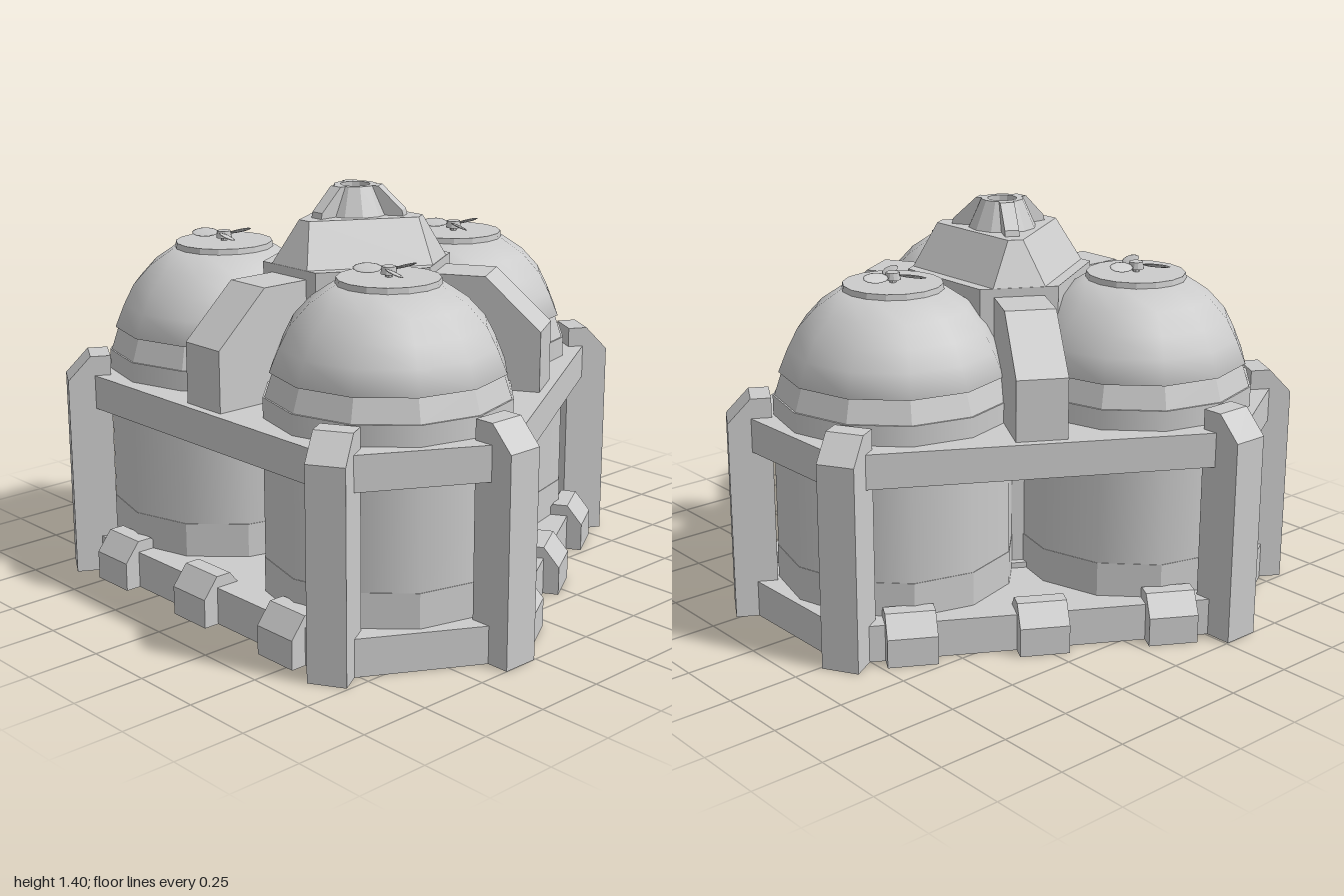
import * as THREE from 'three';
import { ConvexGeometry } from 'three/addons/geometries/ConvexGeometry.js';

const flat = new THREE.MeshStandardMaterial({ color: 0xcccccc, flatShading: true });
const smooth = new THREE.MeshStandardMaterial({ color: 0xcccccc });
const TURN = (2 * Math.PI) / 3;

function add(parent, name, geometry, material = flat) {
  const mesh = new THREE.Mesh(geometry, material);
  mesh.name = name;
  parent.add(mesh);
  return mesh;
}

// Truncated triangle: three long sides and three cut corners, given by their
// distances from the centre. dir = 1 puts a long side at +z, -1 at -z.
function truncatedTriangle(side, cut, dir) {
  const half = (cut - side / 2) / Math.sin(Math.PI / 3);
  const points = [];
  for (let k = 0; k < 3; k++) {
    for (const s of [1, -1]) {
      points.push(new THREE.Vector2(s * half, side * dir)
        .rotateAround(new THREE.Vector2(), k * TURN * dir));
    }
  }
  return points.sort((p, q) => p.angle() - q.angle());
}

// Solid between two outlines at two heights
function solid(lower, y0, upper, y1) {
  return new ConvexGeometry([
    ...lower.map((p) => new THREE.Vector3(p.x, y0, p.y)),
    ...upper.map((p) => new THREE.Vector3(p.x, y1, p.y)),
  ]);
}

// Upright plate between two heights with a hole through it
function frame(outline, hole, y0, y1) {
  const shape = new THREE.Shape(outline);
  shape.holes.push(new THREE.Path(hole));
  return new THREE.ExtrudeGeometry(shape, { depth: y1 - y0, bevelEnabled: false })
    .rotateX(Math.PI / 2).translate(0, y1, 0);
}

// Side profile of [z, y] points, given a width along x
function profile(points, width) {
  const shape = new THREE.Shape(points.map(([z, y]) => new THREE.Vector2(z, y)));
  return new THREE.ExtrudeGeometry(shape, { depth: width, bevelEnabled: false })
    .rotateY(-Math.PI / 2).translate(width / 2, 0, 0);
}

function lathe(points, segments) {
  return new THREE.LatheGeometry(points.map(([r, y]) => new THREE.Vector2(r, y)), segments);
}

function cylinder(top, bottom, y0, y1, sides) {
  return new THREE.CylinderGeometry(top, bottom, y1 - y0, sides).translate(0, (y0 + y1) / 2, 0);
}

function createFan() {
  const fan = new THREE.Group();
  fan.name = 'fan';
  add(fan, 'fanPost', cylinder(0.012, 0.012, 1.17, 1.19, 8));
  add(fan, 'fanHub', cylinder(0.024, 0.028, 1.185, 1.21, 12));
  for (let k = 0; k < 3; k++) {
    const blade = new THREE.SphereGeometry(1, 12, 6)
      .scale(0.03, 0.004, 0.05).rotateZ(0.4).translate(0, 1.2, -0.072);
    add(fan, 'fanBlade', blade, smooth).rotation.y = k * TURN;
  }
  return fan;
}

function createTank() {
  const tank = new THREE.Group();
  tank.name = 'tank';
  add(tank, 'tankFoot', cylinder(0.42, 0.42, 0.125, 0.25, 12));
  add(tank, 'tankWall', cylinder(0.418, 0.418, 0.2, 0.8, 12), smooth);
  add(tank, 'tankCollar', cylinder(0.385, 0.412, 0.8, 0.882, 12));
  add(tank, 'dome', lathe([
    [0.36, 0.88], [0.396, 0.88], [0.363, 0.96], [0.327, 1.03],
    [0.265, 1.097], [0.18, 1.155], [0, 1.165],
  ], 12), smooth);
  add(tank, 'domeCap', cylinder(0.172, 0.175, 1.153, 1.175, 16));
  return tank;
}

export function createModel() {
  const model = new THREE.Group();
  model.name = 'tankStation';
  const body = new THREE.Group();
  body.name = 'body';
  body.position.z = 0.107;
  model.add(body);

  // Floor and deck: thin plates with a rim hanging down around the edge
  const outline = truncatedTriangle(0.71, 0.937, 1);
  const rimInside = truncatedTriangle(0.69, 0.917, 1);
  const recess = truncatedTriangle(0.29, 0.33, -1);
  const towerOutline = truncatedTriangle(0.27, 0.305, -1);
  add(body, 'floor', frame(outline, recess, 0.115, 0.13));
  add(body, 'floorRim', frame(outline, rimInside, 0, 0.115));
  add(body, 'deck', solid(outline, 0.7, outline, 0.73));
  add(body, 'deckRim', frame(outline, rimInside, 0.61, 0.7));

  // Central tower with a ledge, a sloped roof and a hollow nozzle
  add(body, 'towerFoot', solid(recess, 0.125, recess, 0.15));
  add(body, 'tower', solid(towerOutline, 0.15, towerOutline, 1.15));
  add(body, 'towerRoof', solid(
    truncatedTriangle(0.23, 0.303, -1), 1.15, truncatedTriangle(0.14, 0.235, -1), 1.3));
  add(body, 'nozzle', lathe([
    [0.12, 1.3], [0.075, 1.4], [0.052, 1.4], [0.052, 1.32], [0, 1.32],
  ], 12));

  const pillar = profile([[0.85, 0], [1, 0], [1, 0.715], [0.92, 0.8], [0.85, 0.8]], 0.13);
  const buttress = profile([[0.15, 0.72], [0.68, 0.72], [0.68, 0.94], [0.485, 1.12], [0.15, 1.12]], 0.175);
  const bracket = profile([
    [0.6, 0], [0.765, 0], [0.765, 0.1], [0.71, 0.17], [0.655, 0.17], [0.6, 0.1],
  ], 0.17);
  const fin = profile([[0.04, 1.3], [0.18, 1.3], [0.175, 1.32], [0.09, 1.4], [0.06, 1.4]], 0.05);

  // Everything that repeats around the tower
  for (let k = 0; k < 3; k++) {
    const sector = new THREE.Group();
    sector.name = 'sector';
    sector.rotation.y = k * TURN;
    body.add(sector);
    add(sector, 'buttress', buttress);
    add(sector, 'nozzleFin', fin);
    for (const x of [-0.445, 0, 0.445]) add(sector, 'bracket', bracket).position.x = x;
    for (const s of [1, -1]) {
      const corner = new THREE.Group();
      corner.name = 'cornerPillar';
      corner.rotation.y = (s * Math.PI) / 2;
      add(corner, 'pillar', pillar).position.x = -s * 0.215;
      sector.add(corner);
    }

    // Tanks sit towards the cut corners; all fans point the same way
    const angle = Math.PI + k * TURN;
    const tank = createTank();
    tank.add(createFan());
    tank.position.set(Math.sin(angle) * 0.49, 0, Math.cos(angle) * 0.49);
    body.add(tank);
  }
  return model;
}
